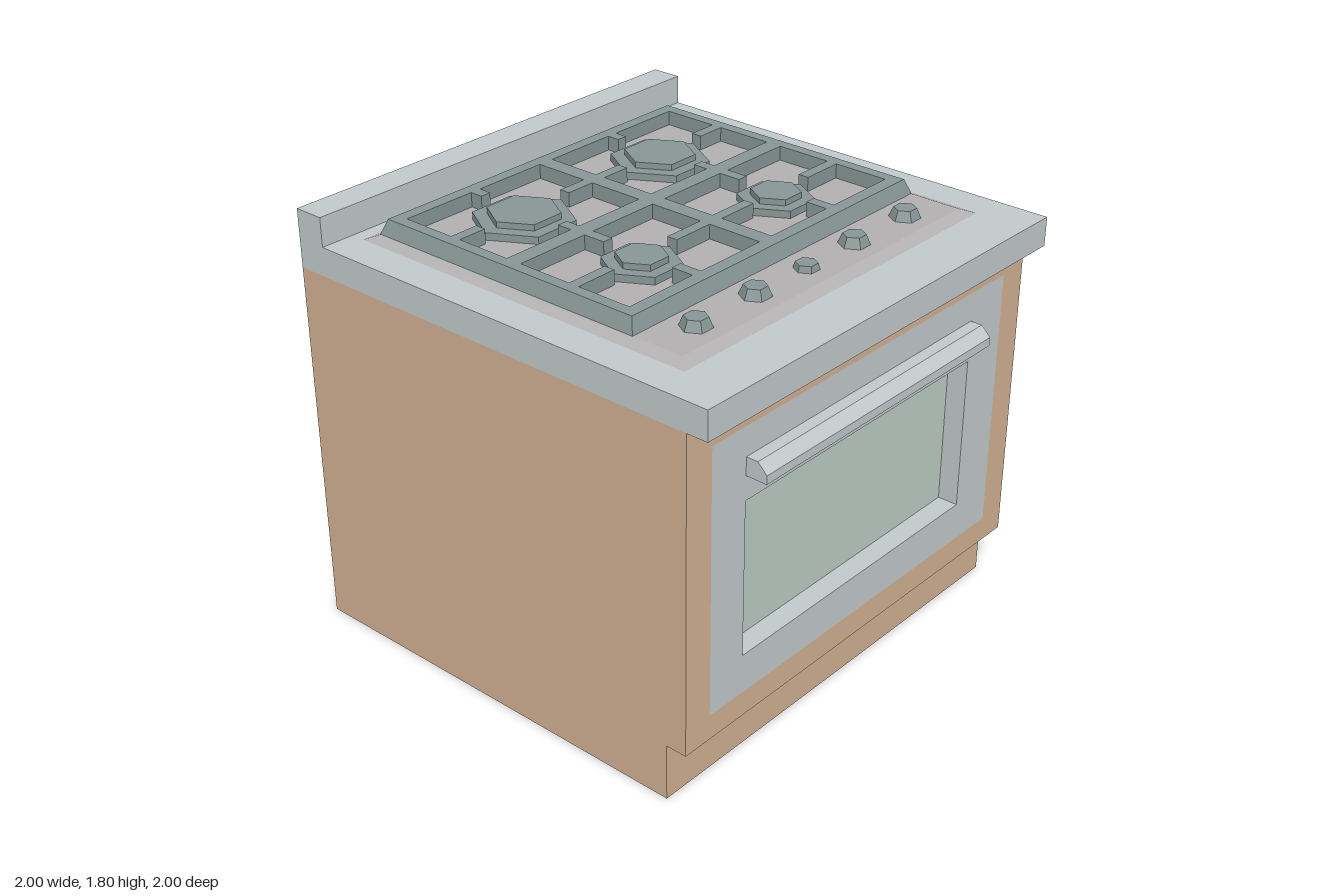
import * as THREE from 'three';

const paint = (color) => new THREE.MeshStandardMaterial({ color, flatShading: true });

// Closed shape from [x, y] pairs
const shapeOf = (pts) => new THREE.Shape(pts.map(([x, y]) => new THREE.Vector2(x, y)));
const rect = (x0, x1, y0, y1) => [[x0, y0], [x1, y0], [x1, y1], [x0, y1]];

const extrude = (shape, depth) =>
  new THREE.ExtrudeGeometry(shape, { depth, bevelEnabled: false });

// Side profile of [z, y] pairs swept from x0 to x1
const sweepX = (pts, x0, x1) =>
  extrude(shapeOf(pts), x1 - x0).rotateY(-Math.PI / 2).translate(x1, 0, 0);

// Rectangular frame facing +z
function frame(outer, inner, z, depth) {
  const shape = shapeOf(outer);
  shape.holes.push(shapeOf(inner));
  return extrude(shape, depth).translate(0, 0, z);
}

// Six-sided frustum standing on y
const hex = (rTop, rBottom, x, y, z, h) =>
  new THREE.CylinderGeometry(rTop, rBottom, h, 6).rotateY(Math.PI / 6).translate(x, y + h / 2, z);

// Opening of one grate cell, with four fingers pointing at the burner
function cellHole(side, z0, z1, cz, left, right, back, front) {
  const x0 = 0.035, x1 = 0.737, cx = 0.385, w = 0.023;
  const pts = [
    [x0, z0], [cx - w, z0], [cx - w, back], [cx + w, back], [cx + w, z0], [x1, z0],
    [x1, cz - w], [right, cz - w], [right, cz + w], [x1, cz + w],
    [x1, z1], [cx + w, z1], [cx + w, front], [cx - w, front], [cx - w, z1], [x0, z1],
    [x0, cz + w], [left, cz + w], [left, cz - w], [x0, cz - w],
  ];
  return shapeOf(pts.map(([x, z]) => [side * x, -z]));
}

export function createModel() {
  const group = new THREE.Group();
  const wood = paint(0xd2b193);
  const steel = paint(0xc2cacb);
  const iron = paint(0x879795);
  const enamel = paint(0xb2b0b0);
  const glass = paint(0xbcccc3);

  const add = (name, geometry, material) => {
    const mesh = new THREE.Mesh(geometry, material);
    mesh.name = name;
    group.add(mesh);
    return mesh;
  };

  // Cabinet with a set-back toe kick and a front frame
  const doorEdge = rect(-0.87, 0.87, 0.345, 1.455);
  const windowEdge = rect(-0.69, 0.66, 0.51, 1.16);
  add('cabinet', sweepX(rect(-1, 0.82, 0, 1.56), -1, 1), wood);
  add('frontFrame', frame(rect(-1, 1, 0.24, 1.56), doorEdge, 0.82, 0.09), wood);

  // Oven door, recessed window and handle
  add('ovenDoor', frame(doorEdge, windowEdge, 0.82, 0.09), steel);
  add('ovenWindow', new THREE.PlaneGeometry(1.35, 0.65).translate(-0.015, 0.835, 0.823), glass);
  add('doorHandle', sweepX(
    [[0.91, 1.26], [1, 1.26], [1, 1.295], [0.96, 1.335], [0.91, 1.335]], -0.69, 0.66), steel);

  // Worktop with raised back edge
  add('worktop', sweepX(
    [[-1, 1.56], [1, 1.56], [1, 1.68], [-0.87, 1.68], [-0.87, 1.8], [-1, 1.8]], -1, 1), steel);

  // Hob plate with sloping edges
  const plate = new THREE.BoxGeometry(1.71, 0.02, 1.585);
  const pp = plate.attributes.position;
  for (let i = 0; i < pp.count; i++) {
    if (pp.getY(i) > 0) {
      pp.setX(i, pp.getX(i) - Math.sign(pp.getX(i)) * 0.05);
      pp.setZ(i, pp.getZ(i) - Math.sign(pp.getZ(i)) * 0.05);
    }
  }
  plate.computeVertexNormals();
  add('hobPlate', plate.translate(0, 1.69, -0.0175), enamel);

  // Pan grate: four cells, outer rim tapering inward to the top
  const grateShape = shapeOf(rect(-0.808, 0.808, -0.503, 0.765));
  for (const side of [-1, 1]) {
    grateShape.holes.push(
      cellHole(side, -0.69, -0.165, -0.43, 0.165, 0.61, -0.635, -0.23),
      cellHole(side, -0.095, 0.425, 0.165, 0.22, 0.555, 0.0, 0.33));
  }
  const grate = extrude(grateShape, 0.06);
  const gp = grate.attributes.position;
  for (let i = 0; i < gp.count; i++) {
    if (gp.getZ(i) > 0.03 && Math.abs(gp.getX(i)) > 0.8) {
      gp.setX(i, gp.getX(i) - Math.sign(gp.getX(i)) * 0.023);
      gp.setY(i, gp.getY(i) - Math.sign(gp.getY(i)) * 0.023);
    }
  }
  grate.computeVertexNormals();
  add('panGrate', grate.rotateX(-Math.PI / 2).translate(0, 1.7, 0), iron);

  // Burners: large pair at the back, small pair in front
  for (const x of [-0.385, 0.385]) {
    for (const [z, r, cap] of [[-0.43, 0.203, 0.145], [0.165, 0.153, 0.1]]) {
      add('burnerBase', hex(r, r, x, 1.7, z, 0.03), iron);
      add('burnerCap', hex(cap, cap, x, 1.73, z, 0.025), iron);
    }
  }

  // Control knobs, with a smaller one in the middle
  for (const x of [-0.61, -0.29, 0, 0.285, 0.605]) {
    const small = x === 0;
    add('knob', hex(small ? 0.043 : 0.045, small ? 0.05 : 0.062, x, 1.7, 0.615, small ? 0.025 : 0.04), iron);
  }

  return group;
}
